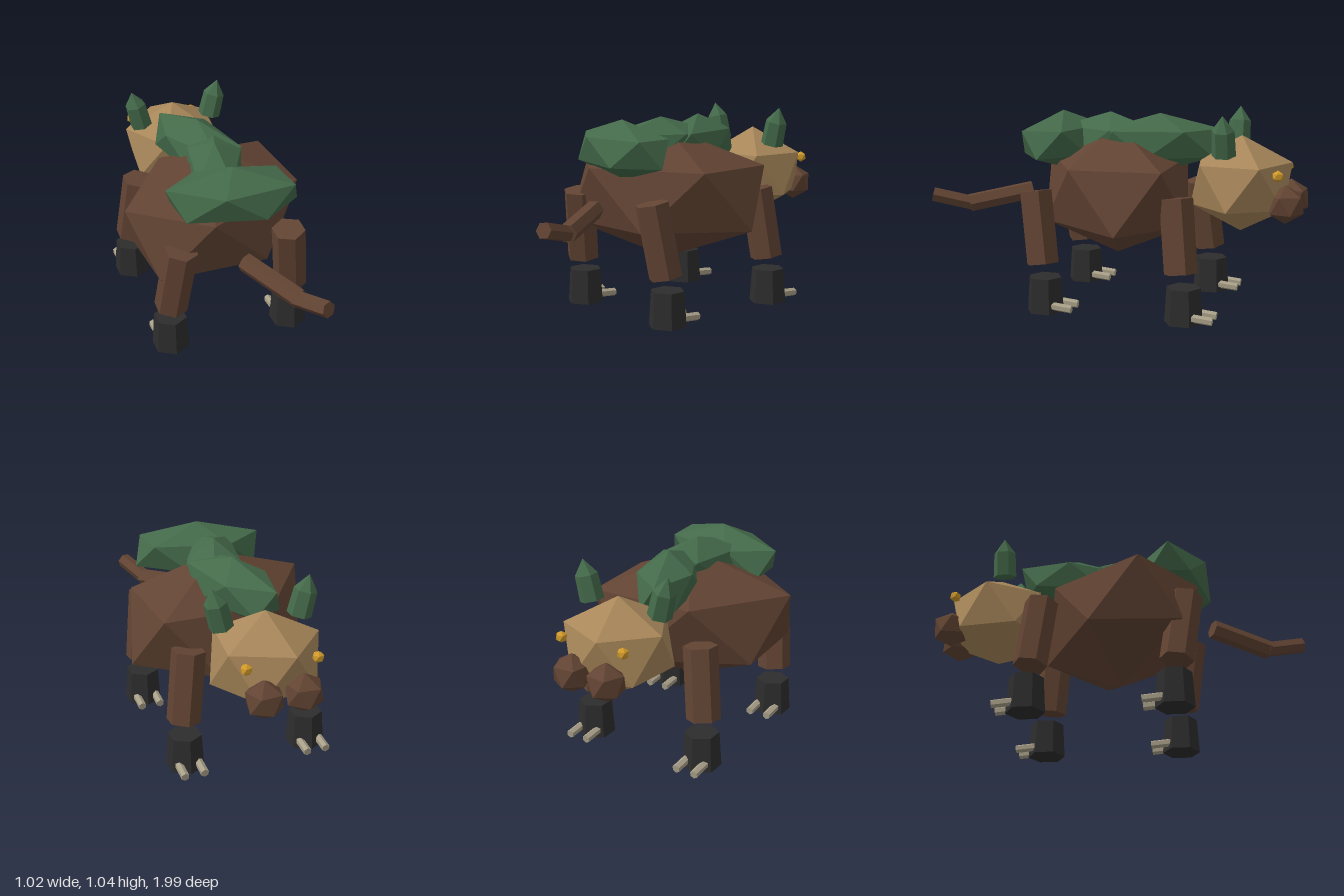
import * as THREE from 'three';
import { ConvexGeometry } from 'three/addons/geometries/ConvexGeometry.js';

const mat = (name, color) => {
  const m = new THREE.MeshStandardMaterial({ color, flatShading: true });
  m.name = name;
  return m;
};

export function createModel() {
  const root = new THREE.Group();
  root.name = 'beast';
  const brown = mat('brown hide', 0x63442f);
  brown.color.setHex(0x624433);
  const tan = mat('tan face', 0xa8875a);
  const green = mat('moss green', 0x446a4a);
  const black = mat('hoof black', 0x2d2d2d);
  const bone = mat('claw bone', 0xa89f88);
  const gold = mat('eye gold', 0xd09a2a);

  const add = (name, geometry, material, parent = root) => {
    const mesh = new THREE.Mesh(geometry, material);
    mesh.name = name;
    parent.add(mesh);
    return mesh;
  };

  // Stretched icosahedron with vertical poles; p and q are the x,z axes of its upper ring.
  const gem = (name, [x, y, z], r, p, q, material, parent = root) => {
    const pts = [new THREE.Vector3(0, r, 0), new THREE.Vector3(0, -r, 0)];
    for (let k = 0; k < 5; k++) {
      const c = Math.cos(k * Math.PI * 0.4), s = Math.sin(k * Math.PI * 0.4);
      const v = new THREE.Vector3(p[0] * c + q[0] * s, r * 0.447, p[1] * c + q[1] * s);
      pts.push(v, v.clone().negate());
    }
    const mesh = add(name, new ConvexGeometry(pts), material, parent);
    mesh.position.set(x, y, z);
    return mesh;
  };

  // Straight prism between two points.
  const limb = (name, a, b, r, material, parent = root, sides = 6) => {
    const from = new THREE.Vector3(...a), to = new THREE.Vector3(...b);
    const dir = to.clone().sub(from);
    const mesh = add(name, new THREE.CylinderGeometry(r, r, dir.length(), sides), material, parent);
    mesh.position.copy(from).add(to).multiplyScalar(0.5);
    mesh.quaternion.setFromUnitVectors(new THREE.Vector3(0, 1, 0), dir.normalize());
    return mesh;
  };

  // Body and head
  gem('body', [0, 0.61, 0.012], 0.35, [-0.13, 0.42], [0.494, 0], brown);
  gem('head', [0, 0.67, -0.655], 0.25, [-0.055, -0.255], [0.265, -0.053], tan);

  // Mossy back
  gem('mossRear', [0, 0.865, 0.315], 0.155, [-0.34, -0.03], [0.015, 0.18], green);
  gem('mossMiddle', [0, 0.865, 0.05], 0.155, [0.1, -0.3], [0.135, 0.06], green);
  gem('mossFront', [0, 0.865, -0.22], 0.155, [-0.115, -0.305], [0.135, -0.06], green);

  // Snout, eyes and horns
  for (const s of [-1, 1]) {
    gem('snout', [s * 0.1, 0.59, -0.9], 0.1, [s * 0.09, 0.02], [-0.02, s * 0.09], brown);
    gem('eye', [s * 0.18, 0.745, -0.87], 0.03, [0.028, 0], [0, 0.028], gold);
    const profile = [[0, 0], [0.062, 0], [0.058, 0.13], [0, 0.21]].map(([x, y]) => new THREE.Vector2(x, y));
    const horn = add('horn', new THREE.LatheGeometry(profile, 6), green);
    horn.position.set(s * 0.2, 0.84, -0.6);
    horn.rotation.z = -s * 0.24;
  }

  // Legs with floating hooves and two claws each
  for (const [top, bottom, hoofZ, end] of [[0.37, 0.318, 0.305, 'rear'], [-0.38, -0.42, -0.435, 'front']]) {
    for (const s of [-1, 1]) {
      const leg = new THREE.Group();
      leg.name = end + 'Leg';
      root.add(leg);
      limb('shin', [s * 0.335, 0.253, bottom], [s * 0.29, 0.627, top], 0.088, brown, leg);
      add('hoof', new THREE.CylinderGeometry(0.088, 0.1, 0.185, 6), black, leg)
        .position.set(s * 0.335, 0.0925, hoofZ);
      for (const side of [-0.052, 0.052]) {
        const x = s * 0.335 + side;
        limb('claw', [x, 0.042, hoofZ - 0.05], [x, 0.032, hoofZ - 0.16], 0.022, bone, leg);
      }
    }
  }

  // Bent tail
  limb('tailBase', [0, 0.575, 0.5], [0.168, 0.515, 0.8], 0.05, brown);
  limb('tailTip', [0.155, 0.513, 0.79], [0.235, 0.565, 0.985], 0.042, brown);

  return root;
}
